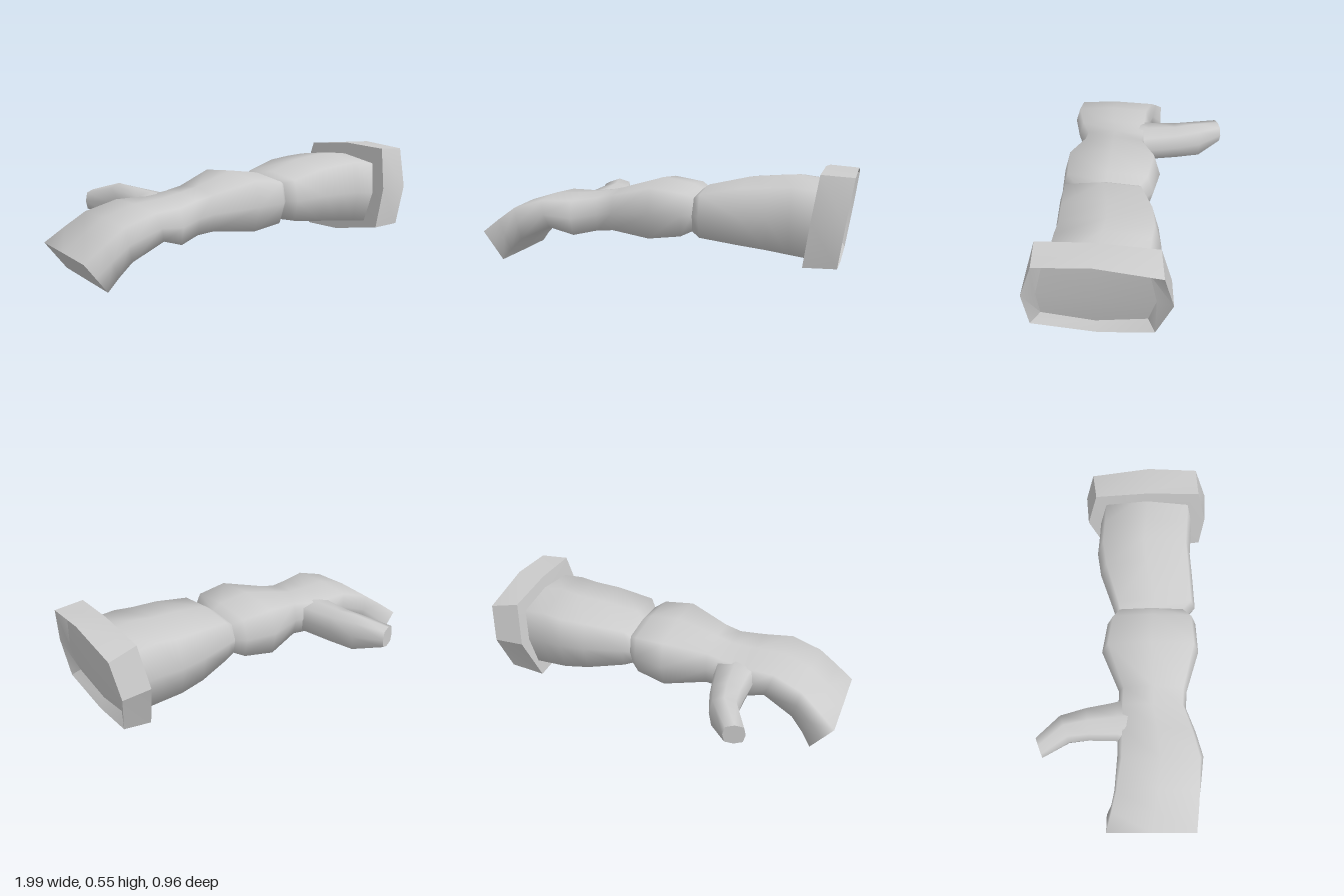
import * as THREE from 'three';
import { toCreasedNormals } from 'three/addons/utils/BufferGeometryUtils.js';

const V = (x, y, z) => new THREE.Vector3(x, y, z);

// Skin a series of eight-point rings and close both ends with fans.
function loft(rings) {
  const pos = [], idx = [], n = 8;
  rings.forEach(r => r.forEach(p => pos.push(p.x, p.y, p.z)));
  for (let i = 0; i < rings.length - 1; i++) {
    for (let j = 0; j < n; j++) {
      const a = i * n + j, b = i * n + (j + 1) % n;
      idx.push(a, b, a + n, b, b + n, a + n);
    }
  }
  const cap = (ring, flip) => {
    const s = pos.length / 3;
    const c = ring[0].clone().add(ring[4]).multiplyScalar(0.5);
    [...ring, c].forEach(p => pos.push(p.x, p.y, p.z));
    for (let j = 0; j < n; j++) {
      const k = (j + 1) % n;
      flip ? idx.push(s + k, s + j, s + n) : idx.push(s + j, s + k, s + n);
    }
  };
  cap(rings[0], true);
  cap(rings[rings.length - 1], false);

  // Turn the faces outward if the enclosed volume is negative.
  const at = i => V(pos[3 * i], pos[3 * i + 1], pos[3 * i + 2]);
  let volume = 0;
  for (let i = 0; i < idx.length; i += 3) {
    volume += at(idx[i]).dot(at(idx[i + 1]).cross(at(idx[i + 2])));
  }
  if (volume < 0) idx.reverse();
  const g = new THREE.BufferGeometry();
  g.setAttribute('position', new THREE.Float32BufferAttribute(pos, 3));
  g.setIndex(idx);
  g.computeVertexNormals();
  return g;
}

// Softly boxed cross-section: top and bottom points in x/y, z from back to front.
function section([xt, yt, xb, yb, z0, z1, cu = 0.87, cv = 0.84]) {
  const unit = [[1, 0], [cu, cv], [0, 1], [-cu, cv], [-1, 0], [-cu, -cv], [0, -1], [cu, -cv]];
  return unit.map(([u, v]) => {
    const t = (v + 1) / 2;
    return V(xb + (xt - xb) * t, yb + (yt - yb) * t, (z0 + z1) / 2 + u * (z1 - z0) / 2);
  });
}

export function createModel() {
  const group = new THREE.Group();
  const material = new THREE.MeshStandardMaterial({ color: 0xcccccc, side: THREE.DoubleSide });
  const add = (name, geometry) => {
    const mesh = new THREE.Mesh(geometry, material);
    mesh.name = name;
    group.add(mesh);
  };

  // Hand: wrist crease, palm, knuckles, bent fingers
  add('hand', loft([
    [0.19, 0.41, 0.18, 0.20, -0.05, 0.35],
    [0.14, 0.44, 0.13, 0.175, -0.095, 0.40],
    [-0.03, 0.465, -0.04, 0.15, -0.125, 0.41],
    [-0.26, 0.40, -0.26, 0.175, -0.03, 0.34],
    [-0.35, 0.38, -0.35, 0.168, -0.035, 0.335],
    [-0.48, 0.365, -0.47, 0.145, -0.04, 0.385],
    [-0.64, 0.36, -0.59, 0.195, -0.04, 0.42, 0.9, 0.86],
    [-0.80, 0.31, -0.76, 0.12, -0.055, 0.405, 0.95, 0.9],
    [-0.90, 0.235, -0.83, 0.06, -0.075, 0.395, 0.98, 0.95],
    [-1.00, 0.155, -0.885, 0.003, -0.10, 0.385, 1, 0.99],
  ].map(section)));

  // Forearm: flares from the wrist toward the cuff
  add('forearm', loft([
    [0.19, 0.41, 0.18, 0.20, -0.05, 0.35],
    [0.23, 0.44, 0.23, 0.175, -0.065, 0.40],
    [0.44, 0.485, 0.43, 0.14, -0.135, 0.39],
    [0.58, 0.497, 0.57, 0.12, -0.155, 0.382],
    [0.69, 0.507, 0.68, 0.105, -0.145, 0.39],
    [0.88, 0.485, 0.83, 0.09, -0.135, 0.405],
  ].map(section)));

  // Thumb: center x, center y, center z, half width, half height, heading
  const thumb = [
    [-0.41, 0.27, 0.06, 0.14, 0.085, 0],
    [-0.42, 0.27, -0.04, 0.11, 0.092, 0],
    [-0.437, 0.27, -0.20, 0.09, 0.094, 0.1],
    [-0.465, 0.27, -0.325, 0.075, 0.102, 0.35],
    [-0.565, 0.267, -0.46, 0.058, 0.058, 0.35],
  ].map(([x, y, z, w, h, a]) =>
    section([0, h, 0, -h, -w, w, 0.8, 0.8]).map(p =>
      V(x + p.z * Math.cos(a), y + p.y, z - p.z * Math.sin(a))));
  add('thumb', loft(thumb));

  // Cuff: outlines in z/y, leaning back with height
  const outline = (x, pts) => pts.map(([z, y]) => V(x + 0.15 * y, y, z));
  const collar = outline(0.745, [[0.40, 0.30], [0.35, 0.45], [0.13, 0.48], [-0.09, 0.44],
    [-0.13, 0.30], [-0.08, 0.13], [0.13, 0.11], [0.36, 0.14]]);
  const nearRim = outline(0.747, [[0.475, 0.33], [0.42, 0.55], [0.14, 0.557], [-0.16, 0.527],
    [-0.212, 0.30], [-0.10, 0.03], [0.14, 0.04], [0.46, 0.105]]);
  const farRim = outline(0.91, [[0.48, 0.33], [0.41, 0.54], [0.14, 0.555], [-0.18, 0.495],
    [-0.225, 0.30], [-0.14, 0.08], [0.13, 0.06], [0.46, 0.11]]);
  const opening = outline(0.87, [[0.415, 0.32], [0.37, 0.505], [0.135, 0.535], [-0.115, 0.475],
    [-0.145, 0.30], [-0.105, 0.14], [0.15, 0.105], [0.41, 0.155]]);
  opening[0].x += 0.015;
  opening[4].x += 0.015;
  add('cuff', toCreasedNormals(loft([collar, nearRim, farRim, opening]), 0.5));

  return group;
}
